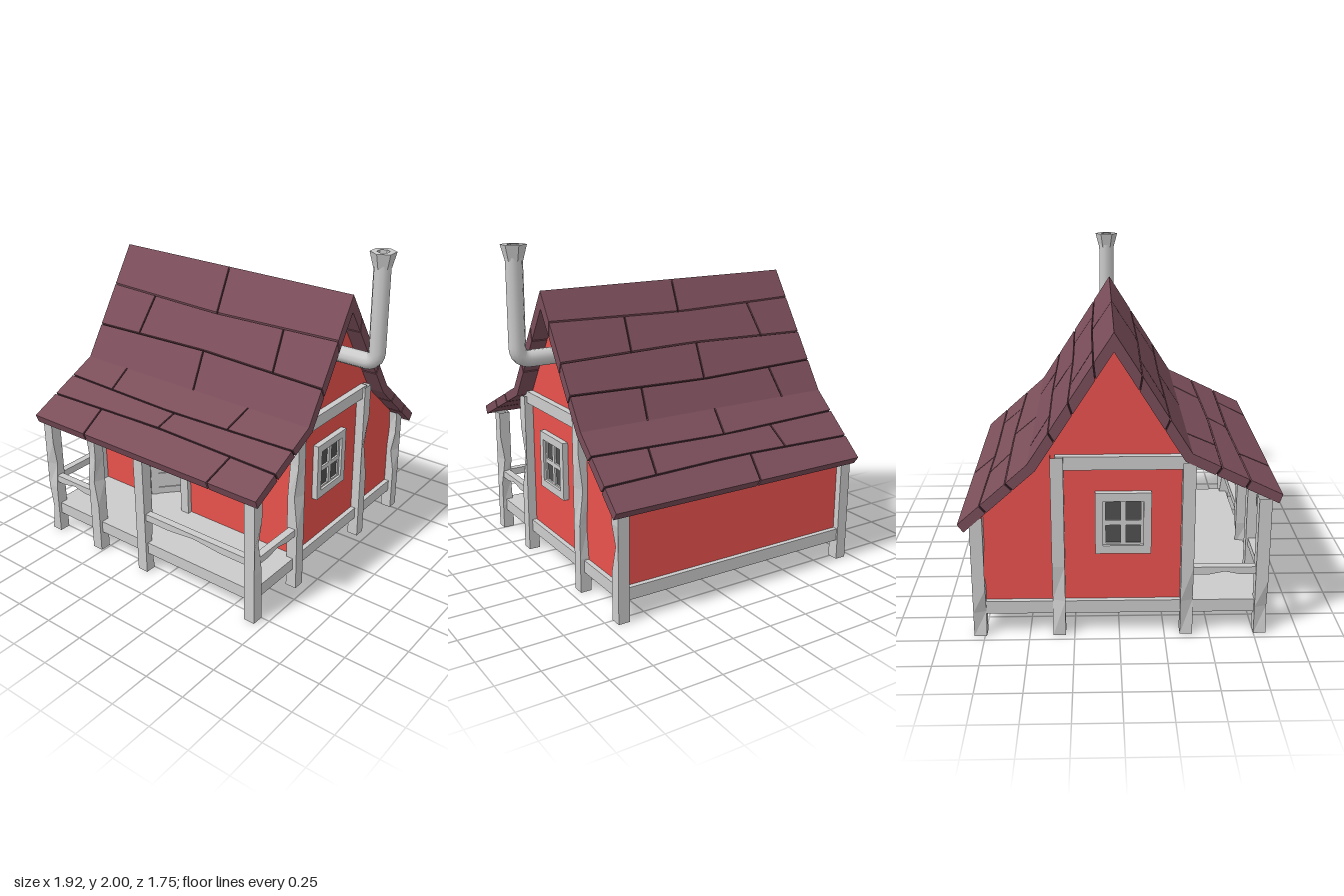
import * as THREE from 'three';

const mat = (color, extra = {}) => new THREE.MeshStandardMaterial({ color, flatShading: true, ...extra });
const grey = mat(0xcccccc);
const smoothGrey = mat(0xcccccc, { flatShading: false });
const postGrey = mat(0xcccccc, { side: THREE.DoubleSide });
const red = mat(0xe9524d, { side: THREE.DoubleSide });
const plankColor = mat(0x7a4e5a);
const gapColor = mat(0x2c1a21);
const paneColor = mat(0x505050);

const CX = -0.13;             // middle of the house
const HALF = 0.79;            // post line either side of the middle
const lerp = THREE.MathUtils.lerp;

function add(parent, name, geometry, material, x = 0, y = 0, z = 0) {
  const mesh = new THREE.Mesh(geometry, material);
  mesh.name = name;
  mesh.position.set(x, y, z);
  parent.add(mesh);
  return mesh;
}
const box = (parent, name, w, h, d, x, y, z, m = grey) =>
  add(parent, name, new THREE.BoxGeometry(w, h, d), m, x, y, z);

function rect(Type, x0, y0, x1, y1) {
  const s = new Type();
  s.moveTo(x0, y0); s.lineTo(x1, y0); s.lineTo(x1, y1); s.lineTo(x0, y1); s.closePath();
  return s;
}

function frame(parent, name, w, h, iw, ih, depth, z) {
  const s = rect(THREE.Shape, -w / 2, -h / 2, w / 2, h / 2);
  s.holes.push(rect(THREE.Path, -iw / 2, -ih / 2, iw / 2, ih / 2));
  add(parent, name, new THREE.ExtrudeGeometry(s, { depth, bevelEnabled: false }), grey, 0, 0, z);
}

// Square post, open at the ends, with one corner chipped at two heights
function post(parent, x, z, top, i) {
  const g = new THREE.CylinderGeometry(0.0495, 0.0495, top, 4, 5, true);
  g.rotateY(Math.PI / 4);
  const p = g.attributes.position;
  const sx = i % 2 ? 1 : -1, sz = i % 4 < 2 ? 1 : -1;
  for (let k = 0; k < p.count; k++) {
    const ring = Math.round((p.getY(k) / top + 0.5) * 5);
    const px = p.getX(k), pz = p.getZ(k);
    if (ring === 1 + (i * 2) % 4 && px * sx > 0 && pz * sz > 0) p.setX(k, px - sx * 0.024);
    if (ring === 1 + (i + 2) % 4 && px * sx < 0 && pz * sz > 0) p.setZ(k, pz - sz * 0.02);
  }
  add(parent, 'post', g, postGrey, x, top / 2, z);
}

// Porch rail with a nick in its lower edge
function rail(parent, length, x, z, turn) {
  const g = new THREE.BoxGeometry(length, 0.045, 0.045, 4, 1, 1);
  const p = g.attributes.position;
  for (let k = 0; k < p.count; k++)
    if (Math.abs(p.getX(k)) < 0.01 && p.getY(k) < 0 && p.getZ(k) > 0) p.setY(k, -0.004);
  add(parent, 'porchRail', g, grey, x, 0.383, z).rotation.y = turn;
}

function windowUnit(parent, x, z, turn) {
  const w = new THREE.Group();
  w.name = 'window';
  frame(w, 'windowFrame', 0.305, 0.355, 0.22, 0.26, 0.045, -0.01);
  frame(w, 'windowSash', 0.222, 0.262, 0.19, 0.24, 0.025, -0.005);
  box(w, 'windowPane', 0.2, 0.25, 0.012, 0, 0, 0.004, paneColor);
  box(w, 'windowBar', 0.028, 0.25, 0.025, 0, 0, 0.01);
  box(w, 'windowBar', 0.2, 0.028, 0.024, 0, 0, 0.01);
  w.position.set(x, 0.667, z);
  w.rotation.y = turn;
  parent.add(w);
}

// Box bent onto a roof slope: u runs along x, t down the slope, w from inner to outer face
function slopeBox(parent, name, material, slope, place) {
  const g = new THREE.BoxGeometry(1, 1, 1, 4, 1, 1);
  const p = g.attributes.position;
  const { outer: [a, b], inner: [c, d] } = slope;
  const flip = b[0] < a[0] ? -1 : 1;
  for (let k = 0; k < p.count; k++) {
    const { x, t, w } = place(p.getX(k) + 0.5, flip * p.getZ(k) + 0.5, p.getY(k) + 0.5);
    const z = lerp(lerp(c[0], d[0], t), lerp(a[0], b[0], t), w);
    const y = lerp(lerp(c[1], d[1], t), lerp(a[1], b[1], t), w);
    p.setXYZ(k, x, y, z);
  }
  g.computeVertexNormals();
  add(parent, name, g, material);
}

function roofSlope(parent, slope) {
  const X0 = -0.96, X1 = 0.74, gap = 0.005;
  const { outer: [a, b], rows, joints } = slope;
  const length = Math.hypot(b[0] - a[0], b[1] - a[1]);
  const last = rows.length - 1;
  // dark layer that shows in the gaps
  slopeBox(parent, 'roofUnderlay', gapColor, slope, (u, v, w) =>
    ({ x: lerp(X0 + 0.008, X1 - 0.008, u), t: lerp(0.01, 0.985, v), w: lerp(0.12, 0.85, w) }));
  // row edges sag a little towards the middle
  const edge = (k, x) => {
    const t = (rows[k] - a[0]) / (b[0] - a[0]);
    return k === 0 || k === last ? t : t + (k % 2 ? 0.012 : -0.012) * (1 - Math.abs(x - CX) / 0.5) / length;
  };
  joints.forEach((cuts, r) => {
    const xs = [X0, ...cuts, X1];
    for (let i = 0; i + 1 < xs.length; i++) {
      const side = (j, v) => {
        const end = j === 0 || j === xs.length - 1;
        return end ? xs[j] : xs[j] + (v - 0.5) * 0.024 * ((j + r) % 2 ? 1 : -1) + (j === i ? gap : -gap);
      };
      slopeBox(parent, 'roofPlank', plankColor, slope, (u, v, w) => {
        const x = lerp(side(i, v), side(i + 1, v), u);
        const t0 = edge(r, x) + (r > 0 ? gap / length : 0);
        const t1 = edge(r + 1, x) - (r + 1 < last ? gap / length : 0);
        return { x, t: lerp(t0, t1, v), w };
      });
    }
  });
}

export function createModel() {
  const house = new THREE.Group();
  house.name = 'house';

  // Deck and posts
  box(house, 'deck', 1.6, 0.075, 1.6, CX, 0.1625, 0);
  [[-0.92, 0.785, 0.81], [-0.545, 0.785, 0.81], [-0.155, 0.785, 0.81], [0.66, 0.785, 0.81],
    [-0.92, 0.372, 1.02], [0.66, 0.372, 1.02], [-0.92, -0.335, 1.055], [0.66, -0.335, 1.055],
    [-0.92, -0.775, 0.715], [0.66, -0.775, 0.715]].forEach(([x, z, top], i) => post(house, x, z, top, i));

  // Porch rails
  rail(house, 0.34, -0.732, 0.785, 0);
  rail(house, 0.78, 0.252, 0.785, 0);

  // Gable walls, each with trim, window and side rail
  const gable = new THREE.Shape([[0.37, 0.19], [0.37, 1.02], [0.345, 1.045], [-0.03, 1.64], [-0.45, 0.995],
    [-0.77, 0.705], [-0.77, 0.19]].map(([z, y]) => new THREE.Vector2(-z, y)));
  for (const s of [1, -1]) {
    const x = CX + s * (HALF - 0.02);
    add(house, 'gableWall', new THREE.ShapeGeometry(gable).rotateY(Math.PI / 2), red, x);
    box(house, 'gableTrim', 0.055, 0.075, 0.72, x + s * 0.012, 1.0175, 0.015);
    windowUnit(house, x, 0.02, s * Math.PI / 2);
    rail(house, 0.36, CX + s * HALF, 0.58, s * Math.PI / 2);
  }

  // Front wall with door opening, and back wall
  const front = rect(THREE.Shape, -0.9, 0.19, 0.64, 1.02);
  front.holes.push(rect(THREE.Path, -0.51, 0.2, -0.2, 0.8));
  add(house, 'frontWall', new THREE.ShapeGeometry(front), red, 0, 0, 0.37);
  add(house, 'backWall', new THREE.PlaneGeometry(1.54, 0.515), red, CX, 0.4475, -0.77);
  windowUnit(house, 0.25, 0.37, 0);

  // Door frame
  for (const x of [-0.535, -0.17]) box(house, 'doorJamb', 0.06, 0.6, 0.06, x, 0.5, 0.37);
  box(house, 'doorHeader', 0.425, 0.06, 0.06, -0.3525, 0.83, 0.37);

  // Door standing ajar, hinged on one jamb
  const door = new THREE.Group();
  door.name = 'door';
  box(door, 'doorLeaf', 0.29, 0.575, 0.02, 0.15, 0.2875, 0);
  for (const x of [0.03, 0.27]) box(door, 'doorStile', 0.05, 0.575, 0.035, x, 0.2875, 0);
  for (const y of [0.025, 0.13, 0.285, 0.43, 0.55]) box(door, 'doorRail', 0.2, 0.045, 0.033, 0.15, y, 0);
  door.position.set(-0.5, 0.202, 0.36);
  door.rotation.y = 0.83;
  house.add(door);

  // Roof: steep upper and shallow lower slopes, given as [z, y]
  const roof = new THREE.Group();
  roof.name = 'roof';
  const ridge = [-0.03, 1.73], ridgeIn = [-0.03, 1.627];
  const knee = [0.385, 1.075], kneeIn = [0.347, 1.032];
  const backKnee = [-0.49, 1.02], backKneeIn = [-0.448, 0.984];
  [
    { outer: [ridge, knee], inner: [ridgeIn, kneeIn],
      rows: [-0.03, 0.12, 0.26, 0.385], joints: [[-0.12], [-0.62, 0.39], [-0.1]] },
    { outer: [knee, [0.873, 0.84]], inner: [kneeIn, [0.855, 0.79]],
      rows: [0.385, 0.55, 0.69, 0.873], joints: [[-0.62, 0.31], [-0.1], [-0.55, 0.42]] },
    { outer: [ridge, backKnee], inner: [ridgeIn, backKneeIn],
      rows: [-0.03, -0.14, -0.265, -0.38, -0.49], joints: [[-0.13], [-0.65, 0.27], [-0.16], [-0.65, 0.3]] },
    { outer: [backKnee, [-0.873, 0.68]], inner: [backKneeIn, [-0.84, 0.635]],
      rows: [-0.49, -0.615, -0.745, -0.873], joints: [[-0.14], [-0.48, 0.4], [-0.22]] },
  ].forEach((slope) => roofSlope(roof, slope));
  house.add(roof);

  // Stove pipe with elbow and flared hexagonal cap
  const V = (x, y) => new THREE.Vector3(x, y, -0.047);
  const path = new THREE.CurvePath();
  path.add(new THREE.LineCurve3(V(0.6, 1.355), V(0.82, 1.355)));
  path.add(new THREE.QuadraticBezierCurve3(V(0.82, 1.355), V(0.897, 1.355), V(0.897, 1.43)));
  path.add(new THREE.LineCurve3(V(0.897, 1.43), V(0.897, 1.93)));
  add(house, 'stovePipe', new THREE.TubeGeometry(path, 40, 0.049, 10), smoothGrey);
  const cap = [[0.05, 1.91], [0.074, 2], [0.036, 2], [0.034, 1.935], [0, 1.935]];
  add(house, 'pipeCap', new THREE.LatheGeometry(cap.map(([r, y]) => new THREE.Vector2(r, y)), 6),
    grey, 0.897, 0, -0.047);

  return house;
}
